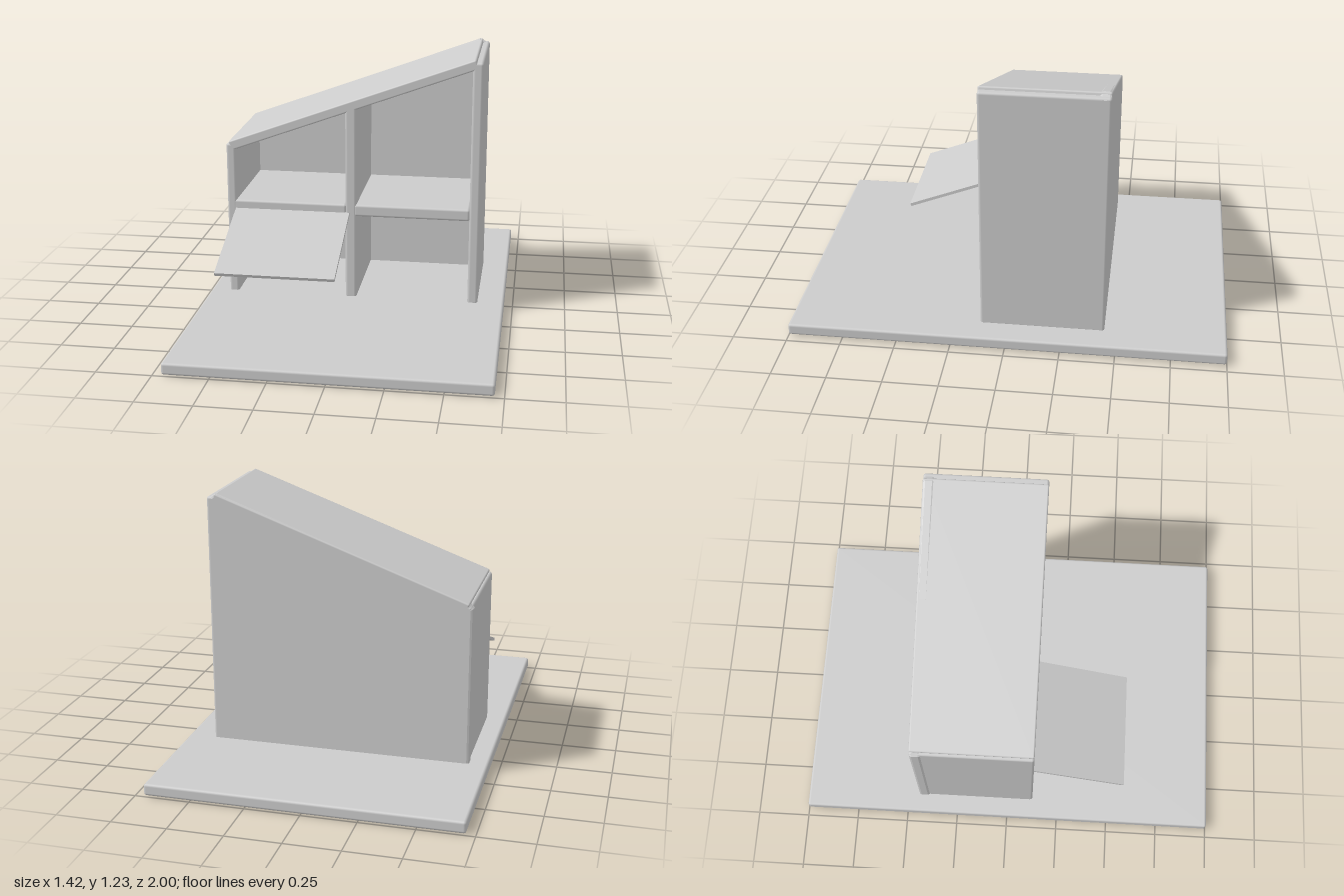
import * as THREE from 'three';
import { RoundedBoxGeometry } from 'three/addons/geometries/RoundedBoxGeometry.js';

const material = new THREE.MeshStandardMaterial({ color: 0xcccccc });
const BACK = -0.445, FRONT = 0.125;

// Board with softened edges, given by its limits on each axis
function board(name, [x0, x1], [y0, y1], [z0, z1], radius = 0.012) {
  const geometry = new RoundedBoxGeometry(x1 - x0, y1 - y0, z1 - z0, 2, radius);
  const mesh = new THREE.Mesh(geometry, material);
  mesh.position.set((x0 + x1) / 2, (y0 + y1) / 2, (z0 + z1) / 2);
  mesh.name = name;
  return mesh;
}

export function createModel() {
  const model = new THREE.Group();
  model.name = 'slopedShelter';
  const depth = [BACK, FRONT];

  // Ground board
  model.add(board('base', [-0.71, 0.71], [0.005, 0.06], [-1, 1]));

  // Side walls and central divider
  model.add(board('rightWall', [-0.62, -0.575], [0.05, 0.8], depth));
  model.add(board('leftWall', [0.537, 0.585], [0.05, 1.22], depth));
  model.add(board('divider', [-0.05, 0.003], [0.05, 1.0], depth));

  // Shelves
  model.add(board('rightShelf', [-0.59, -0.045], [0.468, 0.523], depth));
  model.add(board('leftShelf', [-0.01, 0.539], [0.465, 0.523], depth));

  // Back panel follows the roof slope
  const bevel = 0.012;
  const outline = [[-0.625, 0], [0.585, 0], [0.585, 1.215], [0.55, 1.232], [-0.607, 0.811], [-0.625, 0.795]];
  const centre = [-0.02, 0.55];
  const shape = new THREE.Shape(outline.map(([x, y]) =>
    new THREE.Vector2(x - Math.sign(x - centre[0]) * bevel, y - Math.sign(y - centre[1]) * bevel)));
  const panelGeometry = new THREE.ExtrudeGeometry(shape, {
    depth: 0.055 - 2 * bevel, bevelEnabled: true, bevelSize: bevel, bevelThickness: bevel, bevelSegments: 2,
  });
  const backPanel = new THREE.Mesh(panelGeometry, material);
  backPanel.position.z = BACK + bevel;
  backPanel.name = 'backPanel';
  model.add(backPanel);

  // Sloping roof
  const roof = board('roof', [-0.6175, 0.6175], [-0.0235, 0.0235], depth, 0.008);
  roof.position.set(-0.022, 1.0, (BACK + FRONT) / 2);
  roof.rotation.z = Math.atan2(0.425, 1.16);
  model.add(roof);

  // Tilted flap in front of the lower compartment
  const flap = new THREE.Mesh(new THREE.BoxGeometry(0.55, 0.015, 0.48), material);
  flap.position.set(-0.305, 0.392, 0.338);
  flap.rotation.x = Math.atan2(0.17, 0.44);
  flap.name = 'flap';
  model.add(flap);

  return model;
}
